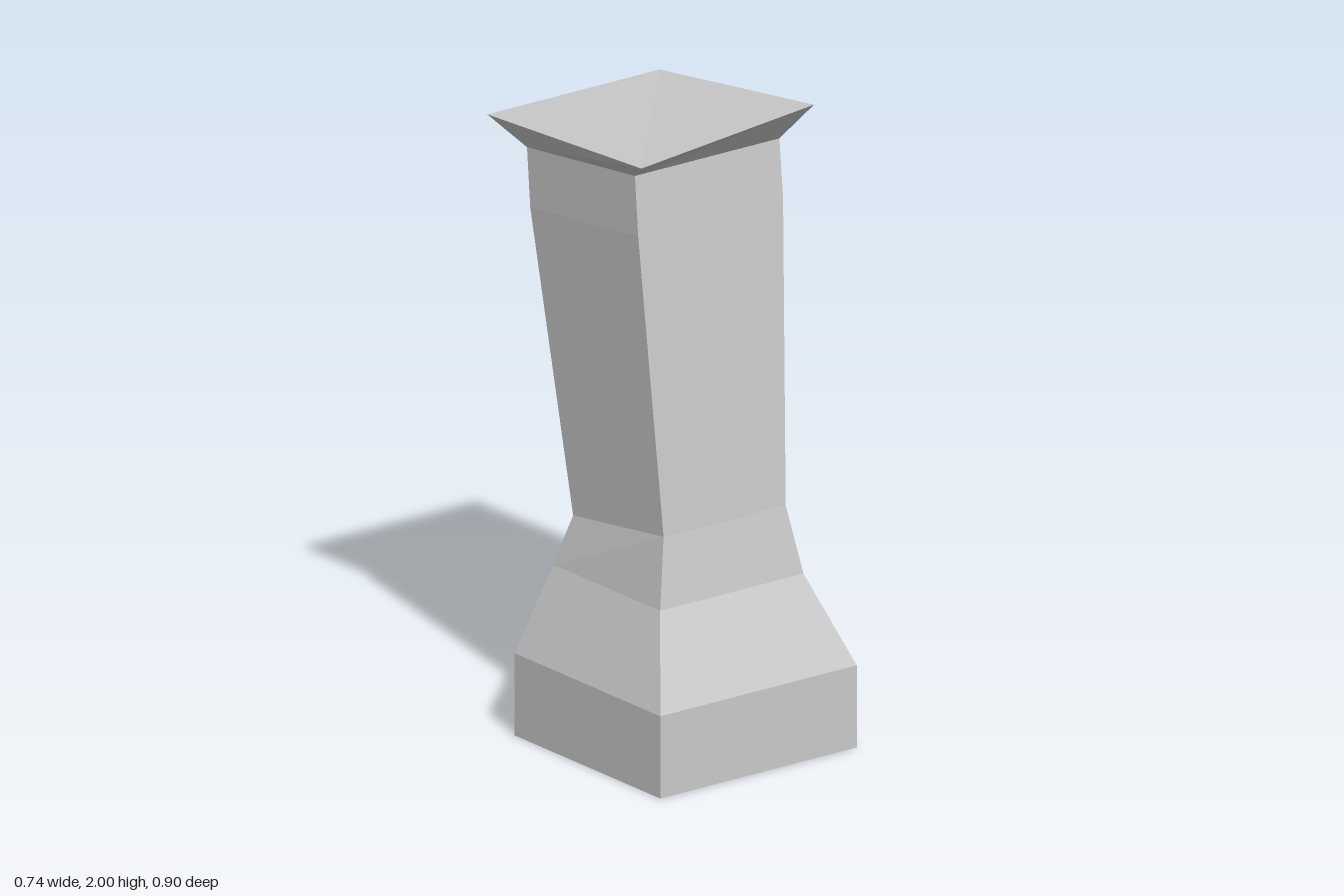
import * as THREE from 'three';

// A four-cornered ring: half width, front z and y, back z and y, extra height of the front left corner
const ring = (hw, zf, yf, zb, yb, lift = 0) => [
  [-hw, yf, zf], [hw, yf + lift, zf], [hw, yb, zb], [-hw, yb, zb],
];

const footBottom = ring(0.37, 0.45, 0, -0.26, 0);
const footTop = ring(0.37, 0.45, 0.26, -0.26, 0.26);
const shoulder = ring(0.27, 0.32, 0.535, -0.2, 0.535);
const waist = ring(0.23, 0.285, 0.75, -0.155, 0.695);
const neck = ring(0.273, 0.217, 1.69, -0.308, 1.635);
const shaftTop = ring(0.272, 0.2, 1.877, -0.325, 1.82);
const capTop = ring(0.325, 0.3, 1.94, -0.45, 1.9, 0.06);

// Skins a stack of rings, closing the ends where asked
function loft(name, rings, { bottom = false, top = false } = {}) {
  const index = [];
  const quad = (a, b, c, d) => index.push(a, b, c, a, c, d);
  for (let r = 0; r < rings.length - 1; r++) {
    for (let i = 0; i < 4; i++) {
      const a = r * 4 + i, b = r * 4 + (i + 1) % 4;
      quad(a, b, b + 4, a + 4);
    }
  }
  if (bottom) quad(3, 2, 1, 0);
  const t = (rings.length - 1) * 4;
  if (top) quad(t, t + 1, t + 2, t + 3);

  const indexed = new THREE.BufferGeometry();
  indexed.setAttribute('position', new THREE.Float32BufferAttribute(rings.flat(2), 3));
  indexed.setIndex(index);
  const geometry = indexed.toNonIndexed();
  geometry.computeVertexNormals();
  const mesh = new THREE.Mesh(geometry, new THREE.MeshStandardMaterial({ color: 0xcccccc, flatShading: true }));
  mesh.name = name;
  return mesh;
}

export function createModel() {
  const model = new THREE.Group();
  model.name = 'leaningPillar';
  model.add(
    // Square foot and the slopes narrowing to the waist
    loft('base', [footBottom, footTop, shoulder, waist], { bottom: true }),
    // Shaft that widens and leans back
    loft('shaft', [waist, neck, shaftTop]),
    // Flared cap with a skewed top
    loft('cap', [shaftTop, capTop], { top: true }),
  );
  return model;
}
